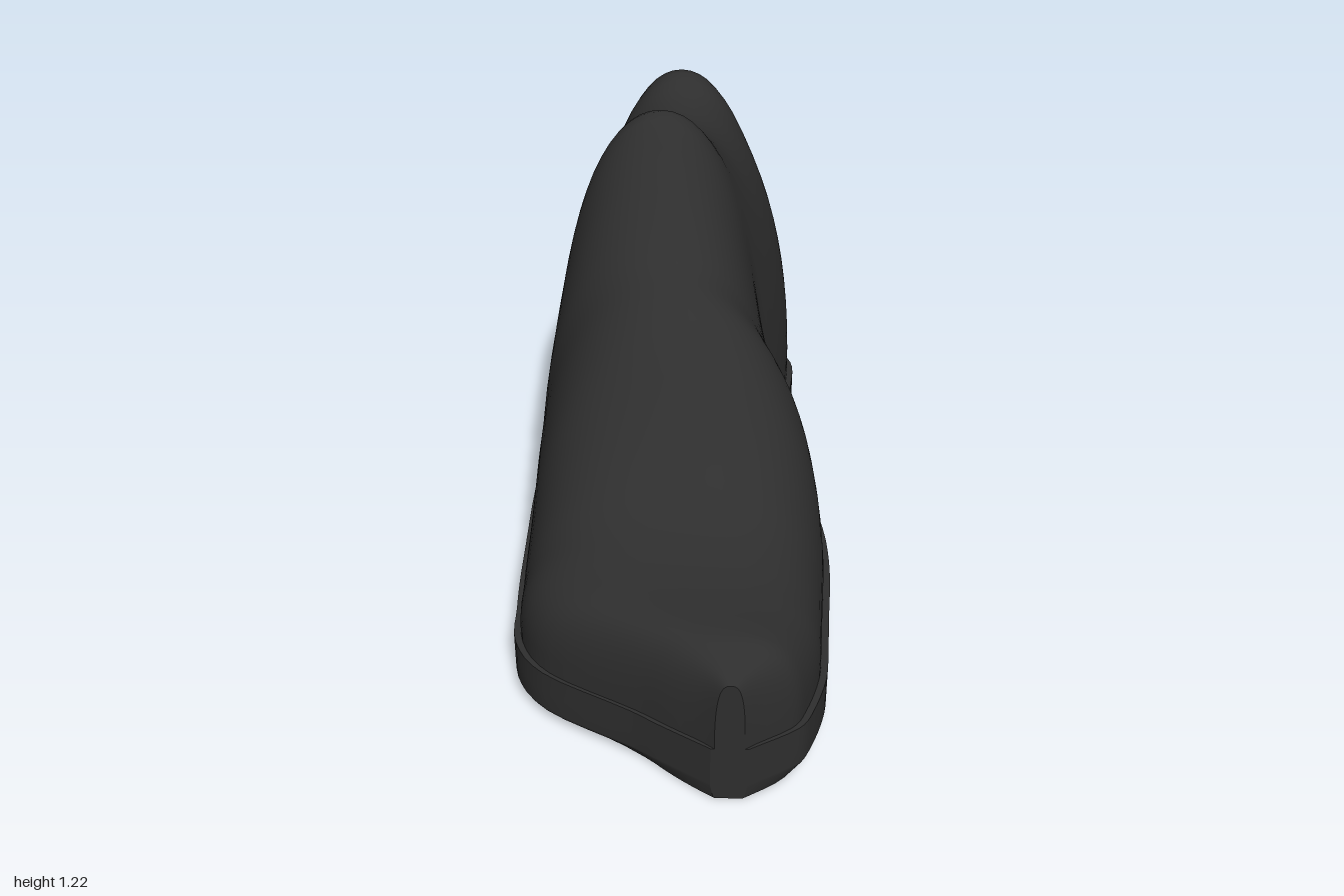
import * as THREE from 'three';

// Stations from heel to toe: z, outline min x, outline max x, top y
const STATIONS = [
  [-1, -0.08, 0.02, 0.38], [-0.93, -0.22, 0.14, 0.70], [-0.87, -0.255, 0.2, 0.87],
  [-0.82, -0.28, 0.24, 1.02], [-0.765, -0.305, 0.275, 1.13], [-0.66, -0.355, 0.335, 1.09],
  [-0.55, -0.355, 0.335, 1.075], [-0.45, -0.365, 0.315, 1.1], [-0.35, -0.375, 0.285, 1.165],
  [-0.27, -0.385, 0.262, 1.225], [-0.18, -0.4, 0.275, 1.125], [-0.08, -0.412, 0.3, 1.0],
  [0, -0.413, 0.33, 0.92], [0.1, -0.415, 0.385, 0.865], [0.2, -0.415, 0.405, 0.785],
  [0.3, -0.415, 0.412, 0.67], [0.4, -0.415, 0.411, 0.57], [0.52, -0.411, 0.403, 0.49],
  [0.65, -0.4, 0.395, 0.45], [0.76, -0.32, 0.385, 0.437], [0.88, -0.1, 0.345, 0.432],
  [0.93, -0.02, 0.31, 0.415], [1, 0.1, 0.19, 0.38],
];
const SOLE_TOP = 0.175;
const SUB = 4;

const slope = (i, k) => {
  const a = STATIONS[Math.max(i - 1, 0)], b = STATIONS[Math.min(i + 1, STATIONS.length - 1)];
  return (b[k] - a[k]) / (b[0] - a[0]);
};

// Smoothly subdivided stations
function makeRings() {
  const rings = [];
  for (let i = 0; i < STATIONS.length - 1; i++) {
    const a = STATIONS[i], b = STATIONS[i + 1], d = b[0] - a[0];
    for (let s = 0; s < SUB; s++) {
      const t = s / SUB, t2 = t * t, t3 = t2 * t;
      const at = (k) => (2 * t3 - 3 * t2 + 1) * a[k] + (t3 - 2 * t2 + t) * d * slope(i, k)
        + (3 * t2 - 2 * t3) * b[k] + (t3 - t2) * d * slope(i + 1, k);
      rings.push({ z: a[0] + d * t, min: at(1), max: at(2), top: at(3) });
    }
  }
  const e = STATIONS[STATIONS.length - 1];
  rings.push({ z: e[0], min: e[1], max: e[2], top: e[3] });
  return rings.map((r) => ({ ...r, c: (r.min + r.max) / 2, h: (r.max - r.min) / 2 }));
}

// Arched upper, squarer towards the toe
function upperSection(r) {
  const n = 2.1 + 0.8 * THREE.MathUtils.smoothstep(r.z, 0.3, 0.75);
  const h = r.h - Math.min(0.018, r.h * 0.2), pts = [];
  for (let i = 0; i <= 36; i++) {
    const a = (Math.PI * i) / 36, c = Math.cos(a), s = Math.max(0, Math.sin(a));
    pts.push([r.c + h * Math.sign(c) * Math.abs(c) ** (2 / n),
      SOLE_TOP + (r.top - SOLE_TOP) * s ** (2 / n)]);
  }
  return pts;
}

// Sole wall with bevelled lower edge and rippled tread
function soleSection(r) {
  const wave = 0.011 - 0.009 * Math.cos((2 * Math.PI * (r.z - 0.05)) / 0.3);
  return [[-1, SOLE_TOP], [-1, 0.11], [-1, 0.055], [-0.98, 0.045], [-0.82, wave + 0.002], [-0.75, wave],
    [0, wave], [0.75, wave], [0.82, wave + 0.002], [0.98, 0.045], [1, 0.055], [1, 0.11], [1, SOLE_TOP]]
    .map(([x, y]) => [r.c + x * r.h, y]);
}

const ledgeSection = (r) => [[r.max, SOLE_TOP], [r.min, SOLE_TOP]];

// Skin of quads through one section per ring
function loft(rings, section) {
  const pos = [], index = [];
  let n = 0;
  rings.forEach((r, j) => {
    const pts = section(r);
    n = pts.length;
    pts.forEach(([x, y]) => pos.push(x, y, r.z));
    if (!j) return;
    for (let i = 0; i < n - 1; i++) {
      const b = j * n + i, a = b - n;
      index.push(a, a + 1, b, a + 1, b + 1, b);
    }
  });
  const g = new THREE.BufferGeometry();
  g.setAttribute('position', new THREE.Float32BufferAttribute(pos, 3));
  g.setIndex(index);
  g.computeVertexNormals();
  return g;
}

export function createModel() {
  const group = new THREE.Group();
  const charcoal = new THREE.MeshStandardMaterial({ color: 0x2e2e2e, side: THREE.DoubleSide });
  charcoal.name = 'charcoal';
  const rings = makeRings();
  const add = (name, geometry) => {
    const mesh = new THREE.Mesh(geometry, charcoal);
    mesh.name = name;
    group.add(mesh);
    return mesh;
  };

  add('upper', loft(rings, upperSection));
  add('sole', loft(rings, soleSection));
  add('soleLedge', loft(rings, ledgeSection));

  // Narrow flat seams closing the toe and heel
  for (const [name, r] of [['heelSeam', rings[0]], ['toeSeam', rings[rings.length - 1]]]) {
    const outline = [...soleSection(r), ...upperSection(r)].map(([x, y]) => new THREE.Vector2(x, y));
    const cap = new THREE.ShapeGeometry(new THREE.Shape(outline));
    if (r.z < 0) {
      // Turn the heel seam to face backwards
      cap.scale(-1, 1, 1).rotateY(Math.PI);
      const idx = cap.index;
      for (let i = 0; i < idx.count; i += 3) {
        const t = idx.getX(i);
        idx.setX(i, idx.getX(i + 1));
        idx.setX(i + 1, t);
      }
      cap.computeVertexNormals();
    }
    add(name, cap).position.z = r.z;
  }
  return group;
}
